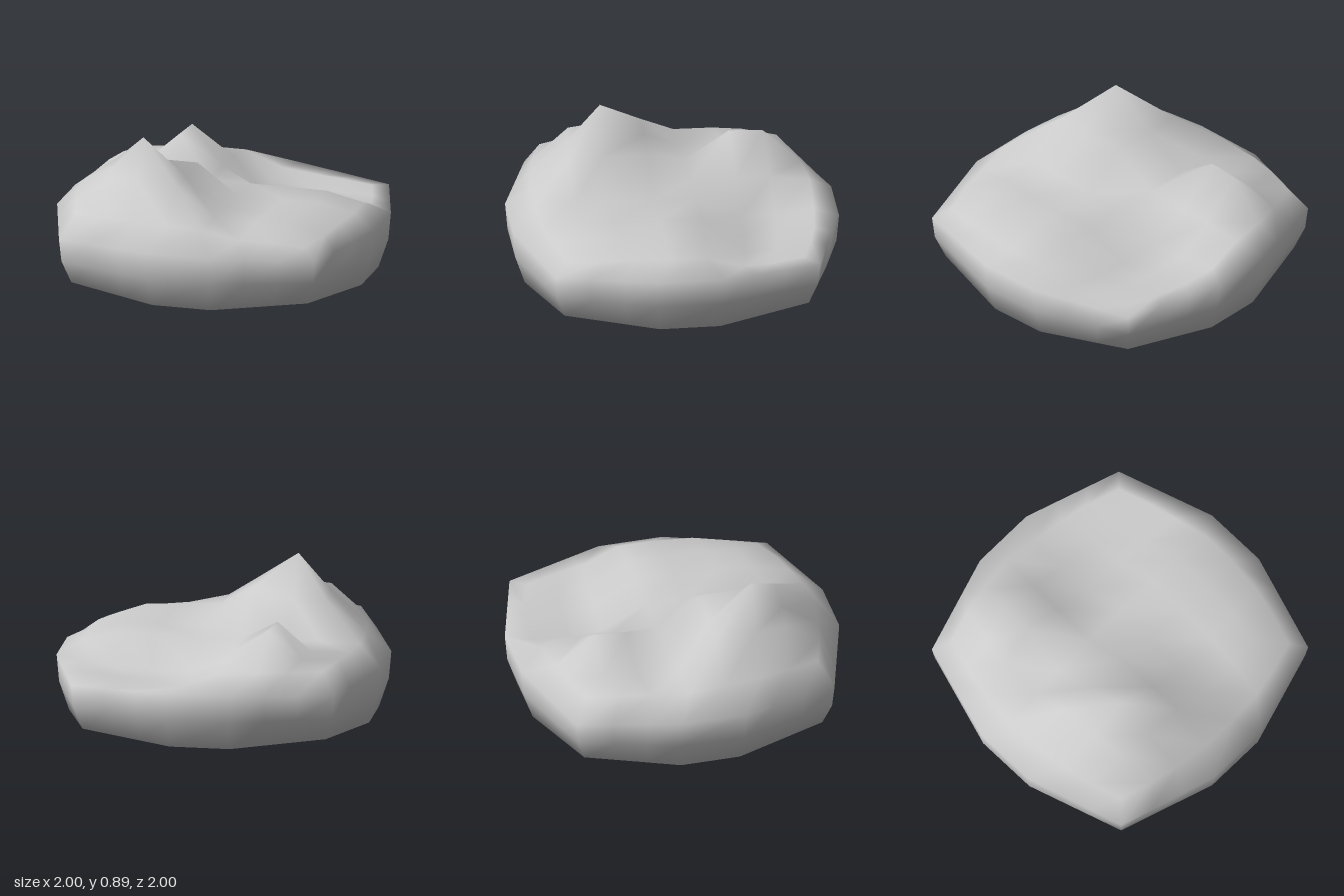
import * as THREE from 'three';

// Grid lines shared by x and z, and the matching spots along the outer rim
const LINES = [-0.86, -0.62, -0.41, -0.13, 0.13, 0.41, 0.62, 0.86];
const RIM = [-0.81, -0.6, -0.4, -0.2, 0.2, 0.4, 0.6, 0.81];

// Terrain heights in hundredths: rows run back to front, columns along x.
// Two stepped pyramids on the left, a terrace front right, a hollow back right.
const HEIGHTS = [
  [46, 46, 46, 45, 36, 34, 34, 34],
  [48, 49, 67, 48, 34, 33, 33, 34],
  [48, 49, 67, 48, 34, 33, 33, 35],
  [47, 48, 48, 48, 48, 48, 48, 43],
  [49, 67, 67, 67, 48, 48, 48, 43],
  [49, 67, 89, 67, 49, 48, 48, 43],
  [49, 66, 67, 67, 49, 48, 48, 41],
  [48, 49, 49, 49, 48, 43, 42, 39],
];

// Loops from the rim down and under: height, scale, extra lift at the corners
const LOOPS = [
  { y: 0.35, scale: 1, lift: -0.025 },
  { y: 0.18, scale: 0.985, lift: 0.005 },
  { y: 0.0, scale: 0.925, lift: 0.04 },
  { y: 0.02, scale: 0.72, lift: 0.01 },
];

function rockGeometry() {
  const n = LINES.length, last = n - 1;
  const pos = [], idx = [];

  // Top surface, drawn in towards the corners
  for (let j = 0; j < n; j++) {
    for (let i = 0; i < n; i++) {
      const x = LINES[i], z = LINES[j];
      pos.push(x * (1 - 0.21 * z * z), HEIGHTS[j][i] / 100, z * (1 - 0.21 * x * x));
      if (i < last && j < last) {
        const a = j * n + i;
        idx.push(a, a + n, a + n + 1, a, a + n + 1, a + 1);
      }
    }
  }

  // Border of the top surface, walked once around
  const border = [];
  for (let k = 0; k < last; k++) border.push([k, 0]);
  for (let k = 0; k < last; k++) border.push([last, k]);
  for (let k = last; k > 0; k--) border.push([k, last]);
  for (let k = last; k > 0; k--) border.push([0, k]);
  const count = border.length;

  // Bulging side wall, turning under at the bottom
  let upper = border.map(([i, j]) => j * n + i);
  for (const { y, scale, lift } of LOOPS) {
    const start = pos.length / 3;
    for (const [i, j] of border) {
      const onX = i === 0 || i === last;
      const along = RIM[onX ? j : i];
      const t = Math.max(0, (Math.abs(along) - 0.2) / 0.61);
      const out = 1 - 0.19 * t;
      const x = onX ? Math.sign(RIM[i]) * out : along;
      const z = onX ? along : Math.sign(RIM[j]) * out;
      pos.push(x * scale, y + lift * t, z * scale);
    }
    const lower = border.map((_, k) => start + k);
    for (let k = 0; k < count; k++) {
      const m = (k + 1) % count;
      idx.push(upper[k], upper[m], lower[m], upper[k], lower[m], lower[k]);
    }
    upper = lower;
  }

  // Underside
  const centre = pos.length / 3;
  pos.push(0, 0.02, 0);
  for (let k = 0; k < count; k++) idx.push(upper[k], upper[(k + 1) % count], centre);

  const geo = new THREE.BufferGeometry();
  geo.setAttribute('position', new THREE.Float32BufferAttribute(pos, 3));
  geo.setIndex(idx);
  geo.computeVertexNormals();
  return geo;
}

export function createModel() {
  const group = new THREE.Group();
  group.name = 'rockMound';
  const rock = new THREE.Mesh(rockGeometry(), new THREE.MeshStandardMaterial({ color: 0xcccccc }));
  rock.name = 'rock';
  group.add(rock);
  return group;
}
